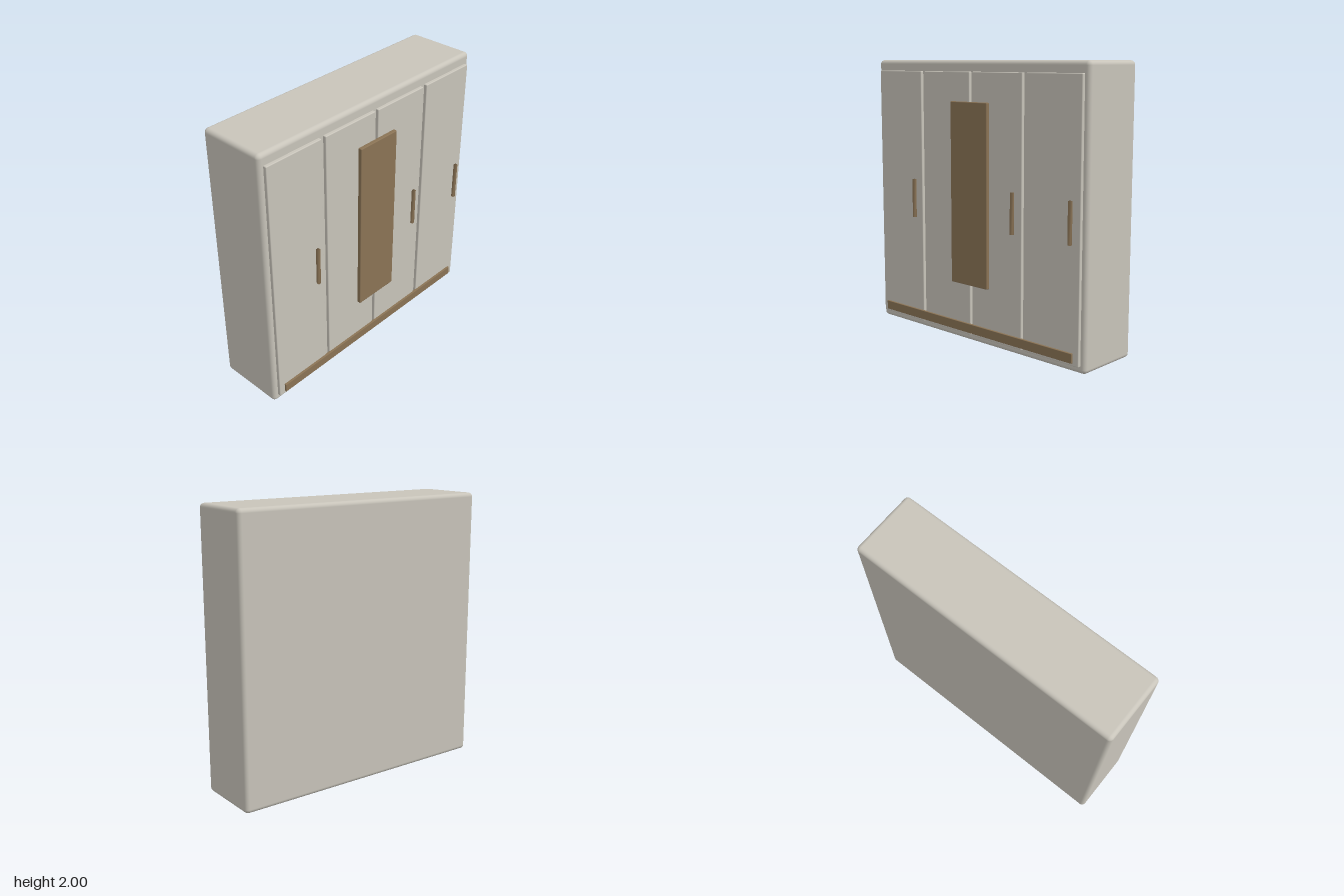
import * as THREE from 'three';
import { RoundedBoxGeometry } from 'three/addons/geometries/RoundedBoxGeometry.js';
import { mergeVertices } from 'three/addons/utils/BufferGeometryUtils.js';

const paint = new THREE.MeshStandardMaterial({ name: 'warm grey paint', color: 0xc8c4ba });
const wood = new THREE.MeshStandardMaterial({ name: 'brown wood', color: 0x8a7355 });

// Block given by its extents on each axis, with rounded edges
function block(name, material, [x0, x1], [y0, y1], [z0, z1], radius, segments = 2) {
  const geometry = new RoundedBoxGeometry(x1 - x0, y1 - y0, z1 - z0, segments, radius);
  const mesh = new THREE.Mesh(geometry, material);
  mesh.name = name;
  mesh.position.set((x0 + x1) / 2, (y0 + y1) / 2, (z0 + z1) / 2);
  return mesh;
}

// Slim bar with normals blended over its corners for a soft look
function handle(x) {
  let geometry = new THREE.BoxGeometry(0.021, 0.285, 0.02);
  geometry.deleteAttribute('uv');
  geometry.deleteAttribute('normal');
  geometry = mergeVertices(geometry);
  geometry.computeVertexNormals();
  const mesh = new THREE.Mesh(geometry, wood);
  mesh.name = 'handle';
  mesh.position.set(x, 0.988, 0.263);
  return mesh;
}

export function createModel() {
  const wardrobe = new THREE.Group();
  wardrobe.name = 'wardrobe';

  // Cabinet body
  wardrobe.add(block('body', paint, [-1, 1], [0, 2], [-0.274, 0.224], 0.03, 4));

  // Four doors, mirrored about the middle
  for (const side of [-1, 1]) {
    for (const inner of [0.0135, 0.5055]) {
      const edges = [side * inner, side * (inner + 0.457)].sort((a, b) => a - b);
      wardrobe.add(block('door', paint, edges, [0.05, 1.922], [0.215, 0.247], 0.006));
    }
  }

  // Central panel and bottom rail
  wardrobe.add(block('centrePanel', wood, [-0.175, 0.175], [0.425, 1.717], [0.244, 0.274], 0.006));
  wardrobe.add(block('bottomRail', wood, [-0.917, 0.917], [0.07, 0.136], [0.242, 0.262], 0.003));

  // Door handles
  for (const x of [-0.576, 0.4, 0.892]) wardrobe.add(handle(x));

  return wardrobe;
}
